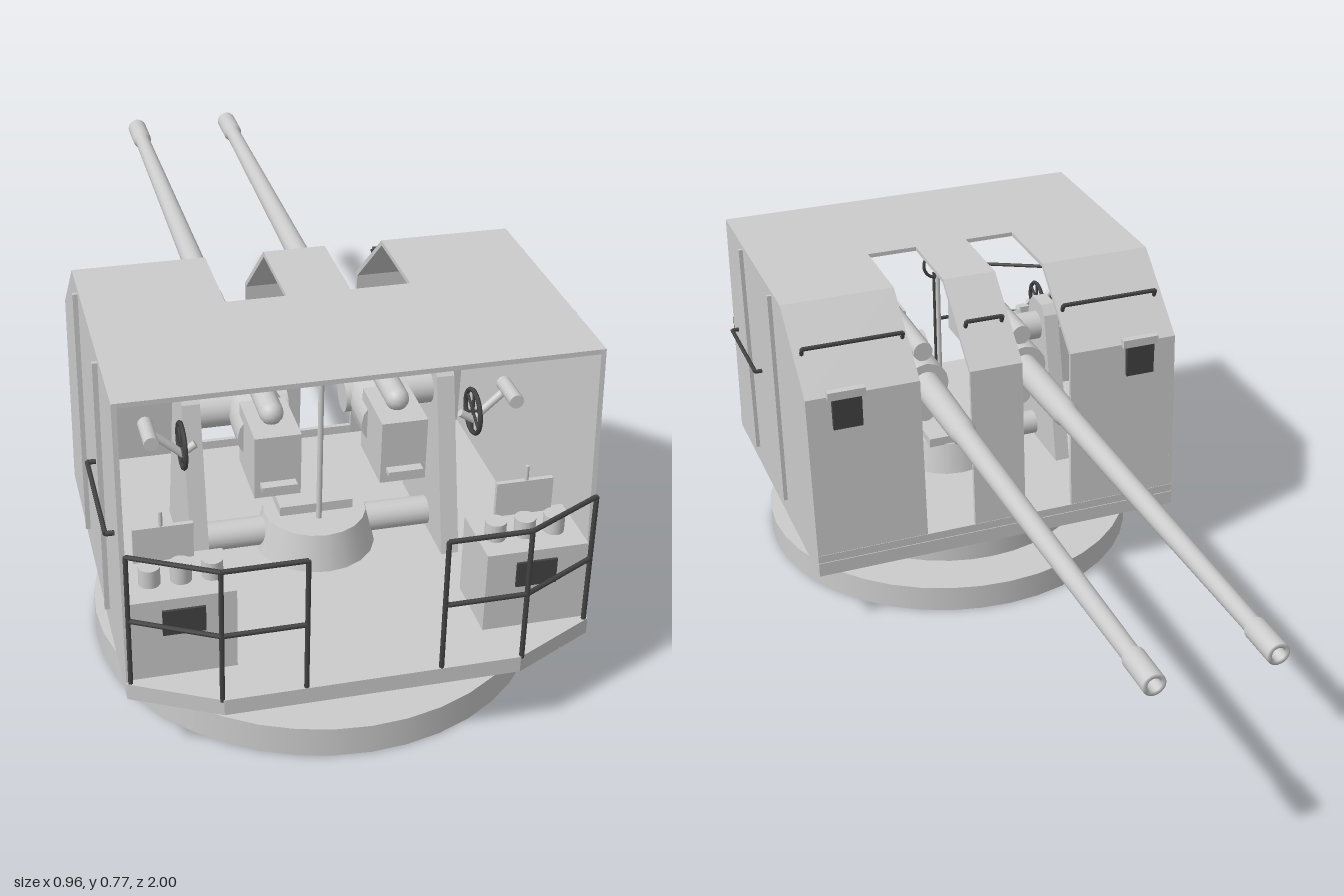
import * as THREE from 'three';

const grey = new THREE.MeshStandardMaterial({ color: 0xcccccc, side: THREE.DoubleSide });
const flat = new THREE.MeshStandardMaterial({ color: 0xcccccc, flatShading: true });
const dark = new THREE.MeshStandardMaterial({ color: 0x444444 });
const V = (x, y, z) => new THREE.Vector3(x, y, z);

export function createModel() {
  const model = new THREE.Group();

  const add = (name, geo, mat = grey, parent = model) => {
    const m = new THREE.Mesh(geo, mat);
    m.name = name;
    parent.add(m);
    return m;
  };
  // box from min/max extents
  const box = (name, x0, x1, y0, y1, z0, z1, mat = grey, parent = model) => {
    const m = add(name, new THREE.BoxGeometry(Math.abs(x1 - x0), y1 - y0, z1 - z0), mat, parent);
    m.position.set((x0 + x1) / 2, (y0 + y1) / 2, (z0 + z1) / 2);
    return m;
  };
  // cylinder between two points
  const rod = (name, a, b, r, r2 = r, seg = 12, mat = grey, parent = model) => {
    const d = b.clone().sub(a);
    const m = add(name, new THREE.CylinderGeometry(r2, r, d.length(), seg), mat, parent);
    m.position.copy(a).addScaledVector(d, 0.5);
    m.quaternion.setFromUnitVectors(V(0, 1, 0), d.normalize());
    return m;
  };
  const rail = (name, pts, r) => {
    for (let i = 1; i < pts.length; i++) rod(name, pts[i - 1], pts[i], r, r, 6, dark);
  };
  // [z, y] profile extruded along x
  const slab = (name, pts, x0, x1) => {
    const s = new THREE.Shape(pts.map(([z, y]) => new THREE.Vector2(-z, y)));
    const g = new THREE.ExtrudeGeometry(s, { depth: x1 - x0, bevelEnabled: false });
    g.rotateY(Math.PI / 2).translate(x0, 0, 0);
    return add(name, g);
  };

  // turning base
  const base = add('baseRing', new THREE.CylinderGeometry(0.47, 0.47, 0.065, 40));
  base.position.set(0, 0.0325, 0.52);
  const drum = add('baseDrum', new THREE.CylinderGeometry(0.35, 0.35, 0.09, 40));
  drum.position.set(0, 0.108, 0.52);

  // deck with clipped rear corners
  const deck = new THREE.Shape([[-0.46, 0.115], [0.46, 0.115], [0.46, 0.91], [0.29, 0.995],
    [-0.29, 0.995], [-0.46, 0.91]].map(([x, z]) => new THREE.Vector2(x, -z)));
  add('deck', new THREE.ExtrudeGeometry(deck, { depth: 0.035, bevelEnabled: false })
    .rotateX(-Math.PI / 2).translate(0, 0.15, 0));

  // shield: face strips between the gun slots, sill and roof
  const strip = [[0.117, 0.185], [0.14, 0.61], [0.32, 0.768], [0.525, 0.768],
    [0.525, 0.758], [0.324, 0.758], [0.15, 0.605], [0.127, 0.185]];
  for (const [a, b] of [[-0.46, -0.187], [-0.065, 0.065], [0.187, 0.46]]) slab('shieldFace', strip, a, b);
  box('shieldSill', -0.46, 0.46, 0.18, 0.205, 0.117, 0.127);
  box('shieldRoof', -0.46, 0.46, 0.758, 0.768, 0.525, 0.865);
  const side = [[0.115, 0.15], [0.14, 0.61], [0.32, 0.768], [0.865, 0.768], [0.908, 0.15]];

  // grab rail on the middle of the sloped face
  rail('slopeRail', [V(-0.045, 0.678, 0.228), V(-0.045, 0.7, 0.218), V(0.045, 0.7, 0.218), V(0.045, 0.678, 0.228)], 0.005);

  // centre pedestal and ring sight
  const cone = add('centrePedestal', new THREE.CylinderGeometry(0.108, 0.128, 0.078, 20));
  cone.position.set(0, 0.223, 0.52);
  box('pedestalCap', -0.078, 0.078, 0.26, 0.283, 0.42, 0.54);
  rod('sightRod', V(0, 0.26, 0.56), V(0, 0.665, 0.56), 0.006);
  const ring = add('sightRing', new THREE.TorusGeometry(0.035, 0.004, 6, 24), dark);
  ring.position.set(0, 0.697, 0.56);

  for (const s of [-1, 1]) {
    const X = (a, y, z) => V(s * a, y, z);
    const bx = (name, a, b, ...r) => box(name, s * a, s * b, ...r);

    // shield side with seams and hand rail
    slab('shieldSide', side, s > 0 ? 0.45 : -0.46, s > 0 ? 0.46 : -0.45);
    for (const z of [0.405, 0.69]) bx('sideSeam', 0.458, 0.47, 0.2, 0.757, z - 0.004, z + 0.004);
    rail('sideHandRail', [X(0.46, 0.475, 0.58), X(0.477, 0.475, 0.58), X(0.477, 0.475, 0.83), X(0.46, 0.475, 0.83)], 0.005);
    rail('slopeRail', [X(0.2, 0.678, 0.228), X(0.2, 0.7, 0.218), X(0.44, 0.7, 0.218), X(0.44, 0.678, 0.228)], 0.005);

    // vision port with hood
    bx('visionPort', 0.33, 0.4, 0.53, 0.605, 0.127, 0.14, dark);
    bx('portHood', 0.32, 0.41, 0.605, 0.625, 0.128, 0.146);

    // gun, slightly elevated about its trunnions
    const gun = new THREE.Group();
    gun.name = 'gun';
    gun.position.set(s * 0.126, 0.515, 0.5);
    gun.rotation.x = 0.019;
    model.add(gun);
    const profile = [[0, 0.2], [0.034, 0.2], [0.034, -0.3], [0.031, -0.48], [0.027, -0.5], [0.019, -1.4],
      [0.024, -1.41], [0.024, -1.5], [0.014, -1.5], [0.014, -1.42], [0, -1.42]];
    const tube = new THREE.LatheGeometry(profile.map(([r, z]) => new THREE.Vector2(r, -z)), 20);
    add('barrel', tube.rotateX(-Math.PI / 2), grey, gun);
    rod('cradle', V(0, 0, -0.22), V(0, 0, 0.12), 0.055, 0.058, 16, grey, gun);
    box('breechBlock', -0.046, 0.046, -0.075, 0.06, 0.08, 0.22, flat, gun);
    box('breechFoot', -0.035, 0.035, -0.05, -0.04, 0.22, 0.24, flat, gun);
    for (const y of [0.078, -0.085]) {
      rod('recoilCylinder', V(0, y, -0.2), V(0, y, 0.16), 0.024, 0.024, 14, grey, gun);
      const cap = add('recoilCap', new THREE.SphereGeometry(0.024, 14, 8), grey, gun);
      cap.position.set(0, y, 0.16);
    }

    // trunnions and their brackets
    rod('trunnion', X(0.06, 0.515, 0.5), X(0.25, 0.515, 0.5), 0.036, 0.036, 18);
    const [b0, b1] = s > 0 ? [0.245, 0.282] : [-0.282, -0.245];
    slab('trunnionBracket', [[0.36, 0.185], [0.45, 0.56], [0.47, 0.583], [0.53, 0.583], [0.55, 0.56], [0.64, 0.185]], b0, b1);
    rod('crossShaft', X(0.07, 0.22, 0.52), X(0.25, 0.22, 0.52), 0.031, 0.031, 16);

    // laying handwheel with crank
    const wheel = add('handwheel', new THREE.TorusGeometry(0.045, 0.005, 6, 24), dark);
    wheel.rotation.y = Math.PI / 2;
    wheel.position.set(s * 0.297, 0.52, 0.63);
    for (let i = 0; i < 3; i++) {
      const a = i * Math.PI / 3, c = Math.cos(a) * 0.045, d = Math.sin(a) * 0.045;
      rod('wheelSpoke', X(0.297, 0.52 + c, 0.63 + d), X(0.297, 0.52 - c, 0.63 - d), 0.003, 0.003, 6, dark);
    }
    rod('wheelShaft', X(0.27, 0.52, 0.63), X(0.3, 0.5, 0.63), 0.008);
    rod('crankArm', X(0.295, 0.5, 0.63), X(0.365, 0.563, 0.63), 0.008);
    rod('crankGrip', X(0.365, 0.567, 0.61), X(0.365, 0.567, 0.69), 0.015);

    // control console
    bx('console', 0.245, 0.45, 0.185, 0.36, 0.76, 0.9);
    bx('consoleWindow', 0.305, 0.387, 0.282, 0.337, 0.895, 0.905, dark);
    bx('consoleBackPlate', 0.303, 0.42, 0.36, 0.436, 0.765, 0.775);
    rod('consolePin', X(0.365, 0.43, 0.77), X(0.365, 0.468, 0.77), 0.004);
    for (const x of [0.28, 0.34, 0.4]) rod('consoleDial', X(x, 0.355, 0.84), X(x, 0.398, 0.84), 0.021, 0.021, 16);

    // guard rails along the rear deck edge
    const edge = [[0.132, 0.99], [0.293, 0.99], [0.452, 0.908]];
    for (const y of [0.33, 0.473]) rail('guardRail', edge.map(([x, z]) => X(x, y, z)), 0.005);
    for (const [x, z] of edge) rail('guardPost', [X(x, 0.18, z), X(x, 0.473, z)], 0.005);

    // struts under the deck overhang
    rod('deckStrut', X(0.29, 0.1, 0.69), X(0.44, 0.152, 0.81), 0.014);
    rod('deckStrut', X(0.29, 0.1, 0.37), X(0.44, 0.152, 0.29), 0.014);
  }
  return model;
}
